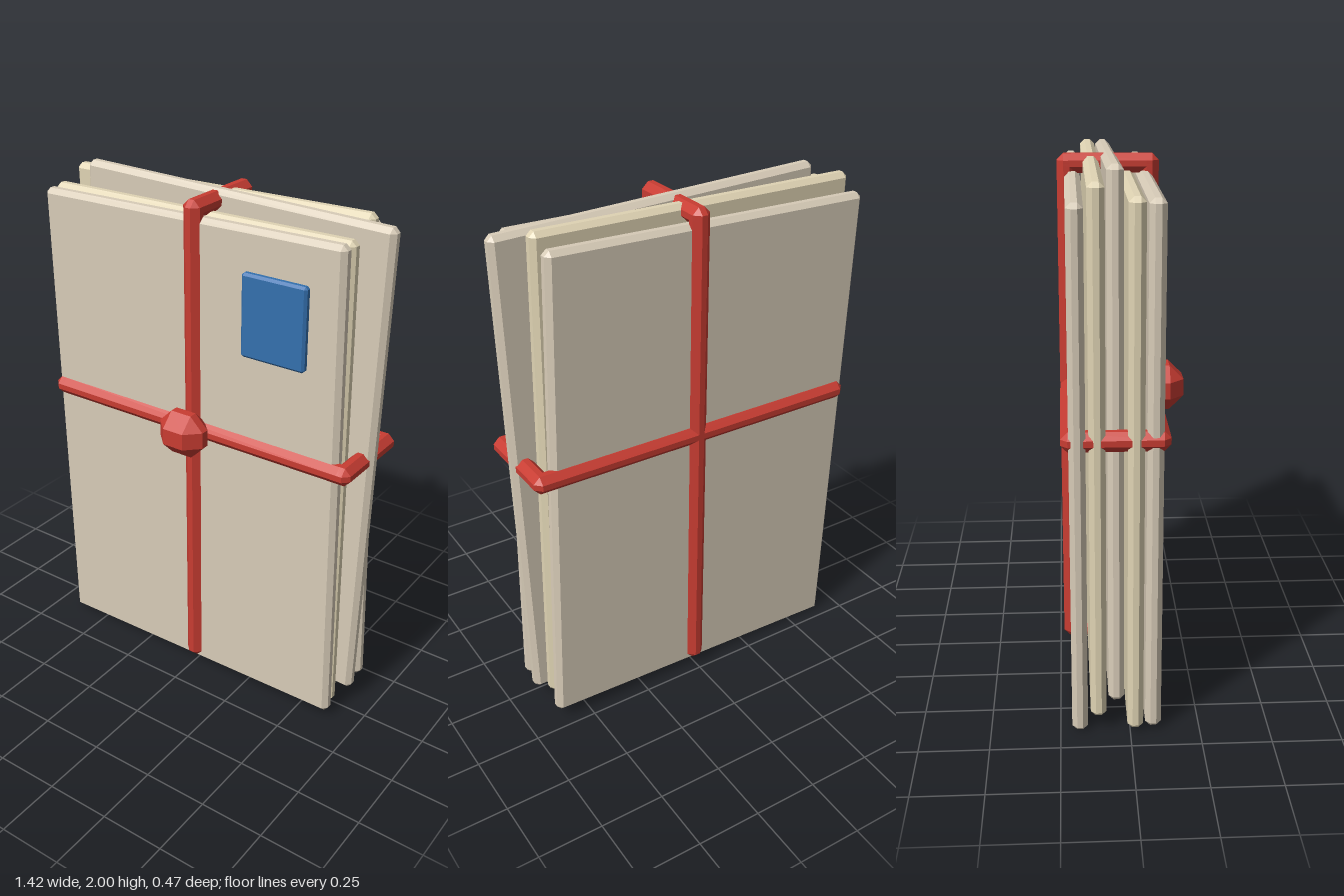
import * as THREE from 'three';
import { ConvexGeometry } from 'three/addons/geometries/ConvexGeometry.js';

// Box whose edges are all cut by a single flat chamfer c
function chamferBox(w, h, d, c) {
  const half = [w / 2, h / 2, d / 2];
  const points = [];
  for (const sx of [-1, 1]) for (const sy of [-1, 1]) for (const sz of [-1, 1]) {
    for (let axis = 0; axis < 3; axis++) {
      const p = half.map((v, i) => (i === axis ? v : v - c));
      points.push(new THREE.Vector3(p[0] * sx, p[1] * sy, p[2] * sz));
    }
  }
  return new ConvexGeometry(points);
}

const flat = (color) => new THREE.MeshStandardMaterial({ color, flatShading: true });

export function createModel() {
  const model = new THREE.Group();
  model.name = 'letterBundle';
  const paper = flat(0xd8ccb8);
  const cream = flat(0xe0d4b4);
  const red = flat(0xc83c32);
  const blue = flat(0x3470ae);

  const add = (parent, name, size, chamfer, pos, material) => {
    const mesh = new THREE.Mesh(chamferBox(...size, chamfer), material);
    mesh.name = name;
    mesh.position.set(...pos);
    parent.add(mesh);
    return mesh;
  };

  // Envelopes, front to back: x, y, z, tilt in degrees
  const envelopes = new THREE.Group();
  envelopes.name = 'envelopes';
  model.add(envelopes);
  [
    [-0.026, 0.968, 0.083, 0.9],
    [-0.038, 0.968, 0.018, 0.5],
    [0.04, 1.035, -0.048, -1.4],
    [-0.035, 1.02, -0.113, 1.0],
    [-0.04, 0.967, -0.18, 1.7],
  ].forEach(([x, y, z, tilt], i) => {
    const sheet = add(envelopes, `envelope${i + 1}`, [1.29, 1.9, 0.057], 0.018,
      [x, y, z], i % 2 ? cream : paper);
    sheet.rotation.z = THREE.MathUtils.degToRad(tilt);
  });

  // String: two closed loops crossing at the knot
  const string = new THREE.Group();
  string.name = 'string';
  model.add(string);
  const t = 0.07, cut = 0.024;
  const zFront = 0.1, zBack = -0.2, zMid = (zFront + zBack) / 2;
  const depth = zFront - zBack + t;
  const yKnot = 1.105, yMid = 1.007;
  for (const [side, z] of [['front', zFront], ['back', zBack]]) {
    add(string, `${side}VerticalString`, [t, 1.945, t], cut, [0, yMid, z], red);
    add(string, `${side}HorizontalString`, [1.355, t, t], cut, [-0.002, yKnot, z], red);
  }
  for (const s of [-1, 1]) {
    add(string, s > 0 ? 'topString' : 'bottomString', [t, t, depth], cut,
      [0, yMid + s * 0.9375, zMid], red);
    add(string, s > 0 ? 'leftString' : 'rightString', [t, t, depth], cut,
      [-0.002 + s * 0.6425, yKnot, zMid], red);
  }
  add(string, 'knot', [0.195, 0.172, 0.14], 0.054, [-0.004, yKnot, 0.165], red);

  // Stamp on the front envelope
  add(model, 'stamp', [0.26, 0.31, 0.032], 0.009, [0.352, 1.617, 0.12], blue);

  return model;
}
